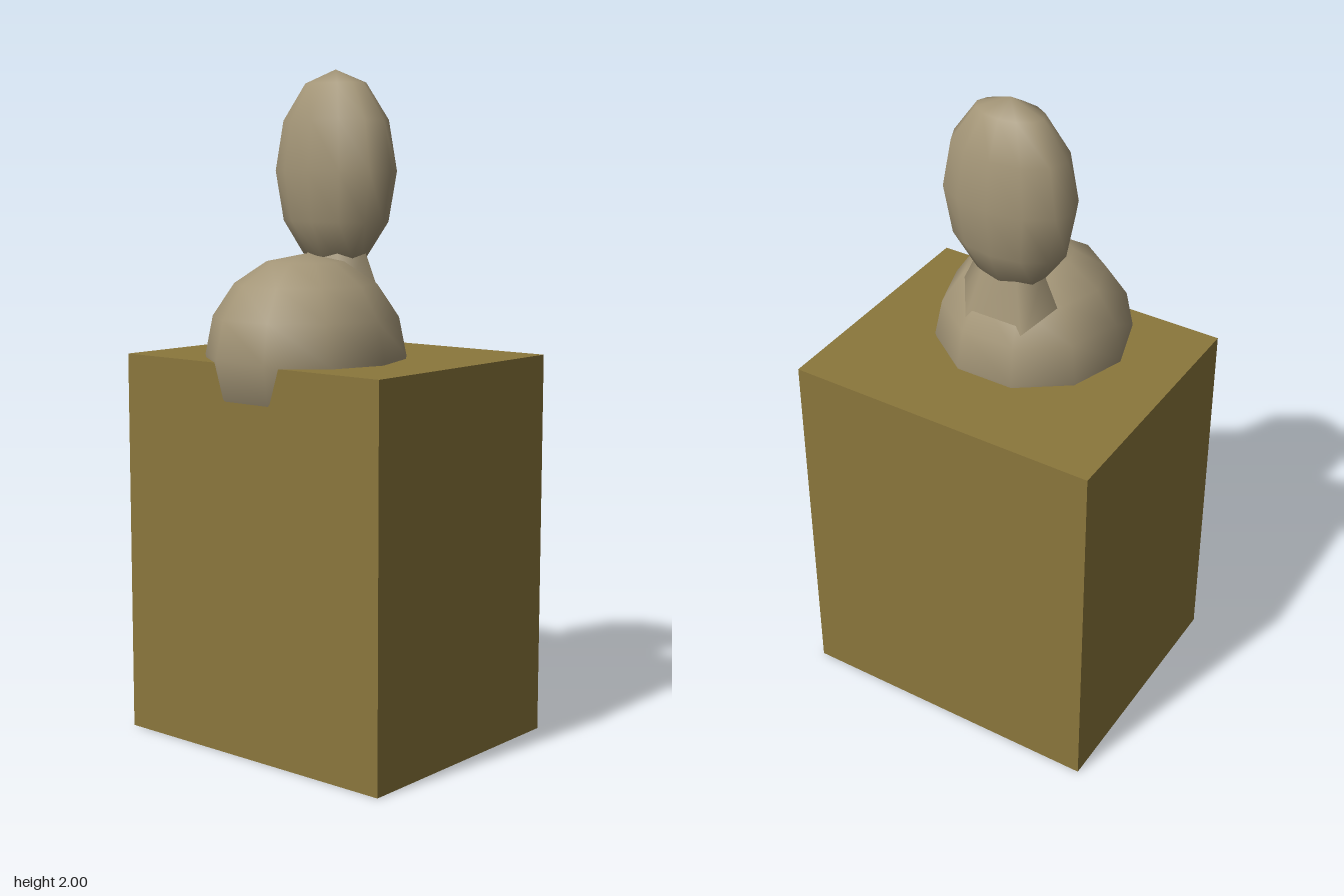
import * as THREE from 'three';

const block = new THREE.MeshStandardMaterial({ color: 0x8b773c });
const stone = new THREE.MeshStandardMaterial({ color: 0xa39577 });

function add(group, name, geometry, material, x, y, z) {
  const mesh = new THREE.Mesh(geometry, material);
  mesh.name = name;
  mesh.position.set(x, y, z);
  group.add(mesh);
  return mesh;
}

export function createModel() {
  const model = new THREE.Group();
  model.name = 'bustOnPlinth';

  // Solid block the bust rests on
  add(model, 'plinth', new THREE.BoxGeometry(0.97, 1.16, 0.785), block, 0, 0.58, -0.0125);

  // Low-poly sphere, half sunk into the block and overhanging its front
  add(model, 'body', new THREE.SphereGeometry(0.297, 10, 8), stone, 0, 1.17, 0.123);

  // Six-sided flared neck, flattened front to back
  const neck = new THREE.CylinderGeometry(0.11, 0.2, 0.2, 6, 1, false, Math.PI / 2);
  neck.scale(1, 1, 0.6);
  add(model, 'neck', neck, stone, 0, 1.38, -0.013);

  // Flattened egg-shaped head
  const head = new THREE.SphereGeometry(1, 12, 6);
  head.scale(0.21, 0.295, 0.126);
  add(model, 'head', head, stone, 0, 1.705, -0.013);

  return model;
}
